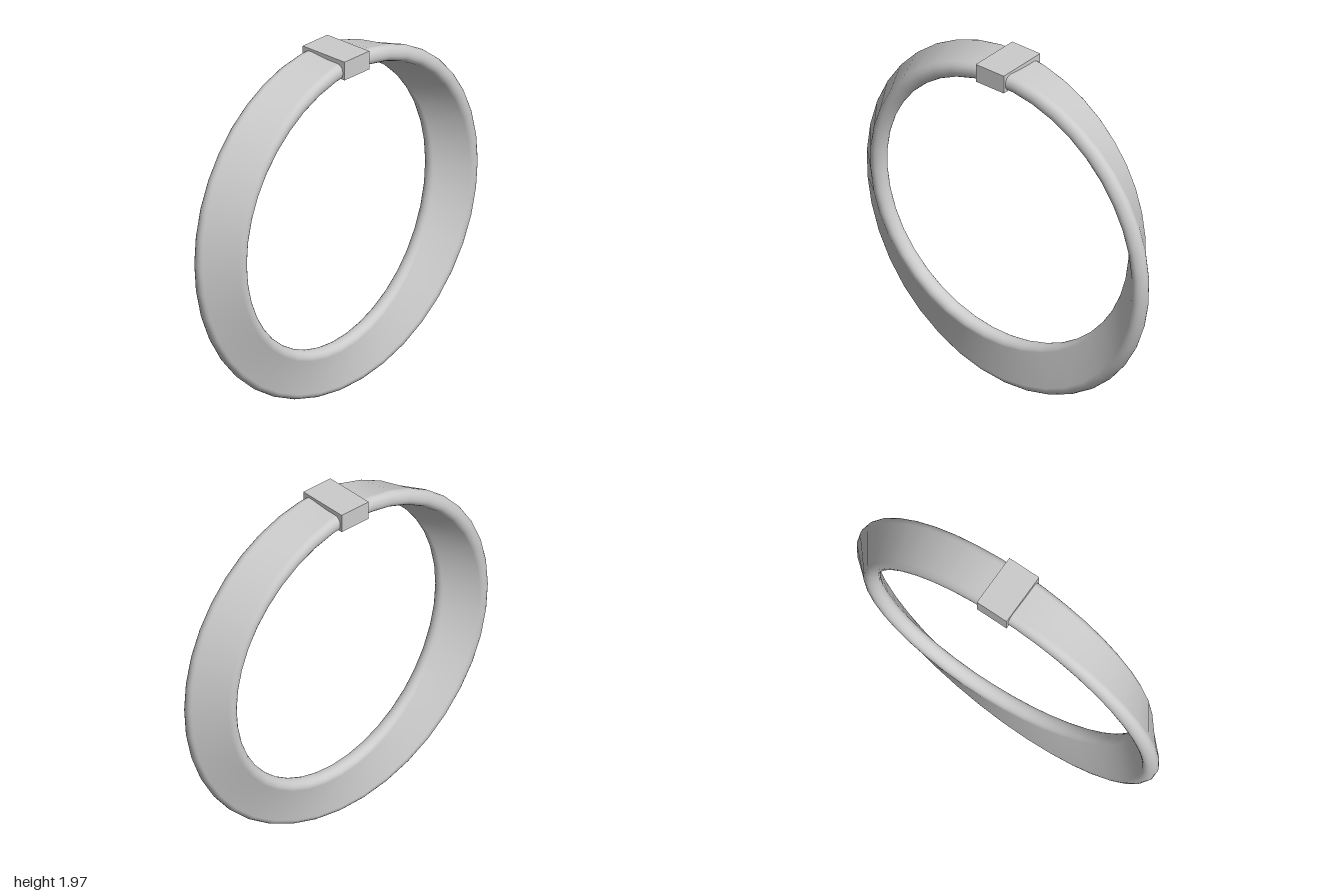
import * as THREE from 'three';

const RADIUS = 0.887, CENTER_Y = 1.031;   // ring centre line
const WIDTH = 0.275, THICK = 0.09, CORNER = 0.04; // band cross-section
const SEGMENTS = 40;

// Rounded rectangle, counter-clockwise, as [u, v] pairs
function bandSection() {
  const points = [], steps = 5;
  const cu = WIDTH / 2 - CORNER, cv = THICK / 2 - CORNER;
  [[1, 1], [-1, 1], [-1, -1], [1, -1]].forEach(([su, sv], corner) => {
    for (let k = 0; k <= steps; k++) {
      const a = (corner + k / steps) * Math.PI / 2;
      points.push([su * cu + CORNER * Math.cos(a), sv * cv + CORNER * Math.sin(a)]);
    }
  });
  return points;
}

// Sweep the section round the ring, turning it half a turn on the way
function twistedBand() {
  const section = bandSection(), n = section.length;
  const positions = [], indices = [];
  for (let i = 0; i <= SEGMENTS; i++) {
    const t = (i / SEGMENTS) * Math.PI * 2; // from the top, towards +x
    const c = Math.cos(t / 2), s = Math.sin(t / 2);
    for (const [u, v] of section) {
      const r = RADIUS + u * s + v * c;
      positions.push(r * Math.sin(t), CENTER_Y + r * Math.cos(t), u * c - v * s);
    }
  }
  for (let i = 0; i < SEGMENTS; i++) {
    for (let j = 0; j < n; j++) {
      const k = (j + 1) % n;
      const a = i * n + j, b = a + n, d = i * n + k, e = d + n;
      indices.push(a, b, e, a, e, d);
    }
  }
  const geometry = new THREE.BufferGeometry();
  geometry.setAttribute('position', new THREE.Float32BufferAttribute(positions, 3));
  geometry.setIndex(indices);
  geometry.computeVertexNormals();
  return geometry;
}

export function createModel() {
  const group = new THREE.Group();
  group.name = 'twistedRing';
  const material = new THREE.MeshStandardMaterial({ color: 0xcccccc });

  // Half-twist band
  const band = new THREE.Mesh(twistedBand(), material);
  band.name = 'band';

  // Block clasp over the join at the top
  const clasp = new THREE.Mesh(new THREE.BoxGeometry(0.19, 0.105, 0.3), material);
  clasp.name = 'clasp';
  clasp.position.y = 1.922;

  group.add(band, clasp);
  return group;
}
